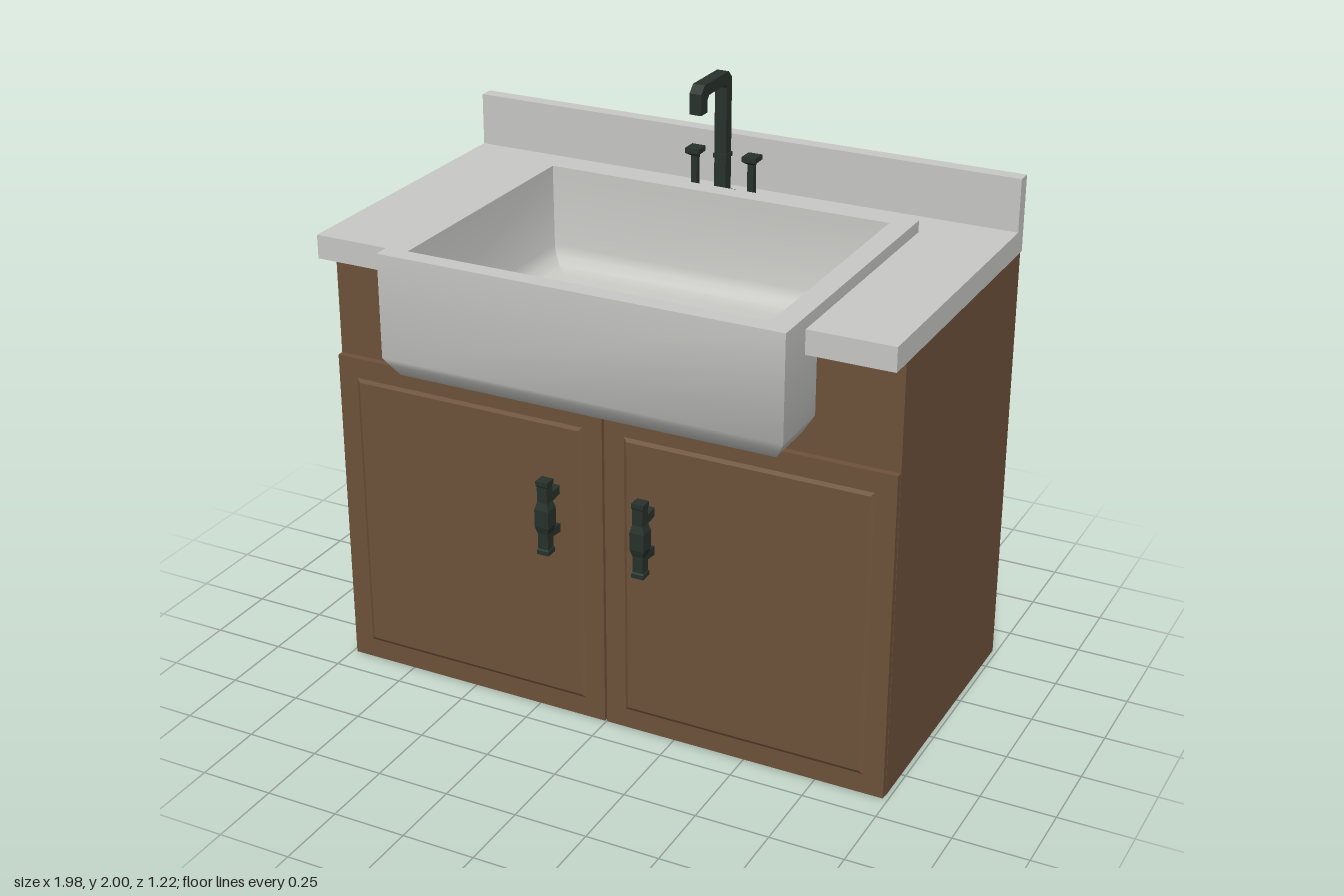
import * as THREE from 'three';
import { toCreasedNormals } from 'three/addons/utils/BufferGeometryUtils.js';

const wood = new THREE.MeshStandardMaterial({ color: 0x6e523a });
wood.name = 'brown wood';
const stone = new THREE.MeshStandardMaterial({ color: 0xc9c9c6 });
stone.name = 'pale stone';
const metal = new THREE.MeshStandardMaterial({ color: 0x28322c });
metal.name = 'dark metal';

// Skin rectangular rings [x0, x1, z0, z1, y], closed at both ends
function loft(rings, crease = 0.75) {
  const pos = [];
  const corners = rings.map(([x0, x1, z0, z1, y]) => [[x0, y, z1], [x1, y, z1], [x1, y, z0], [x0, y, z0]]);
  const quad = (a, b, c, d) => pos.push(...a, ...b, ...c, ...a, ...c, ...d);
  for (let r = 0; r < corners.length - 1; r++) {
    const a = corners[r], b = corners[r + 1];
    for (let i = 0; i < 4; i++) {
      const j = (i + 1) % 4;
      quad(a[i], a[j], b[j], b[i]);
    }
  }
  quad(...[...corners[0]].reverse());
  quad(...corners[corners.length - 1]);
  const geo = new THREE.BufferGeometry();
  geo.setAttribute('position', new THREE.Float32BufferAttribute(pos, 3));
  return toCreasedNormals(geo, crease);
}

// Inset a rectangle by d at height y
const ring = ([x0, x1, z0, z1], d, y) => [x0 + d, x1 - d, z0 + d, z1 - d, y];

// Box from minimum and maximum corners
function block(x0, x1, y0, y1, z0, z1) {
  return new THREE.BoxGeometry(x1 - x0, y1 - y0, z1 - z0)
    .translate((x0 + x1) / 2, (y0 + y1) / 2, (z0 + z1) / 2);
}

function extrude(points, depth) {
  const shape = new THREE.Shape(points.map(([x, y]) => new THREE.Vector2(x, y)));
  return new THREE.ExtrudeGeometry(shape, { depth, bevelEnabled: false });
}

export function createModel() {
  const model = new THREE.Group();
  model.name = 'vanitySink';
  const add = (name, geo, mat, parent = model) => {
    const mesh = new THREE.Mesh(geo, mat);
    mesh.name = name;
    parent.add(mesh);
    return mesh;
  };

  // Cabinet, notched where the basin sits
  add('cabinetFront', extrude([
    [-0.985, 0], [0.985, 0], [0.985, 1.49], [0.69, 1.49], [0.69, 1.26], [0.63, 1.2],
    [-0.59, 1.2], [-0.65, 1.26], [-0.65, 1.49], [-0.985, 1.49],
  ], 0.78).translate(0, 0, -0.4), wood);
  add('cabinetBack', block(-0.985, 0.985, 0, 1.49, -0.61, -0.4), wood);

  // Countertop, open at the front around the basin, and backsplash
  add('countertop', extrude([
    [-0.99, -0.47], [-0.65, -0.47], [-0.65, 0.4], [0.69, 0.4], [0.69, -0.47],
    [0.99, -0.47], [0.99, 0.61], [-0.99, 0.61],
  ], 0.08).rotateX(-Math.PI / 2).translate(0, 1.49, 0), stone);
  add('backsplash', block(-0.99, 0.99, 1.57, 1.75, -0.61, -0.56), stone);

  // Basin: outer shell up, over the rim and down to the floor
  const outer = [-0.67, 0.705, -0.42, 0.61];
  const inner = [-0.595, 0.63, -0.355, 0.55];
  add('basin', loft([
    ring(outer, 0.15, 1.17), ring(outer, 0.06, 1.185), ring(outer, 0.04, 1.195),
    ring(outer, 0.015, 1.235), ring(outer, 0, 1.26), ring(outer, 0, 1.61),
    ring(inner, 0, 1.61), ring(inner, 0.005, 1.33), ring(inner, 0.018, 1.295),
    ring(inner, 0.045, 1.27), ring(inner, 0.09, 1.26),
  ]), stone);
  add('drain', block(-0.03, 0.065, 1.26, 1.266, 0.035, 0.155), stone);

  // Doors with a slightly raised panel, and their pulls
  for (const side of [-1, 1]) {
    const label = side > 0 ? 'left' : 'right';
    const edge = [-0.49, 0.49, -1.13, -0.002];
    const door = loft([
      ring(edge, 0, 0.38), ring(edge, 0, 0.403), ring(edge, 0.07, 0.403), ring(edge, 0.082, 0.41),
    ], 0.2).rotateX(Math.PI / 2);
    add(label + 'Door', door, wood).position.x = side * 0.494;

    const pull = new THREE.Group();
    pull.name = label + 'DoorPull';
    pull.position.set(side * 0.17, 0, 0.48);
    const sq = (h, y) => [-h, h, -h, h, y];
    add('grip', loft([
      sq(0.021, 0.63), sq(0.021, 0.645), sq(0.018, 0.65), sq(0.018, 0.705), sq(0.025, 0.73),
      sq(0.025, 0.79), sq(0.018, 0.815), sq(0.018, 0.87), sq(0.021, 0.875), sq(0.021, 0.89),
    ], 0.2), metal, pull);
    for (const [y, tilt] of [[0.695, 0.12], [0.825, -0.12]]) {
      const post = add('post', new THREE.BoxGeometry(0.03, 0.03, 0.08), metal, pull);
      post.position.set(0, y, -0.04);
      post.rotation.x = -tilt;
    }
    model.add(pull);
  }

  // Faucet: hooked spout with a base plate and collar
  const faucet = new THREE.Group();
  faucet.name = 'faucet';
  faucet.position.x = -0.004;
  add('spout', extrude([
    [0.472, 1.57], [0.472, 1.975], [0.447, 2], [0.27, 2], [0.245, 1.975], [0.245, 1.905],
    [0.29, 1.905], [0.29, 1.945], [0.302, 1.96], [0.42, 1.96], [0.432, 1.948], [0.432, 1.57],
  ], 0.042).rotateY(Math.PI / 2).translate(-0.021, 0, 0), metal, faucet);
  add('base', block(-0.032, 0.032, 1.57, 1.585, -0.486, -0.42), metal, faucet);
  add('collar', block(-0.024, 0.024, 1.705, 1.72, -0.476, -0.428), metal, faucet);
  model.add(faucet);

  // Taps
  for (const x of [-0.107, 0.1]) {
    const tap = new THREE.Group();
    tap.name = x > 0 ? 'leftTap' : 'rightTap';
    tap.position.set(x, 0, -0.457);
    add('stem', block(-0.011, 0.011, 1.57, 1.705, -0.011, 0.011), metal, tap);
    add('cap', loft([
      [-0.014, 0.014, -0.014, 0.014, 1.695], [-0.025, 0.025, -0.027, 0.027, 1.705],
      [-0.025, 0.025, -0.027, 0.027, 1.722],
    ], 0.2), metal, tap);
    model.add(tap);
  }
  return model;
}
